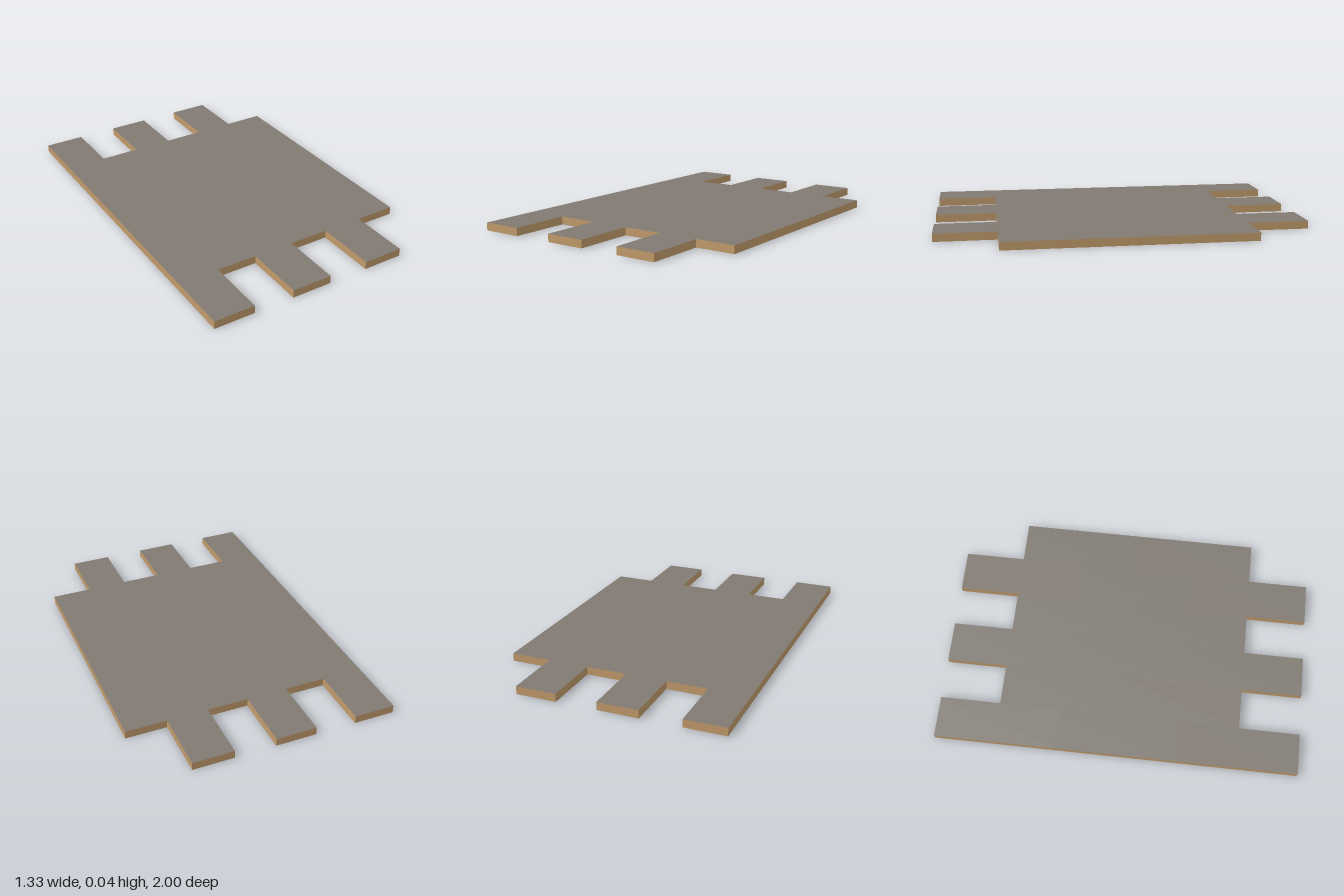
import * as THREE from 'three';

const WIDTH = 2 / 9, LENGTH = 2 / 3, THICK = 0.043;

export function createModel() {
  const model = new THREE.Group();
  model.name = 'plankFloor';

  const face = new THREE.MeshStandardMaterial({ color: 0x807a72 });
  face.name = 'weathered grey face';
  const edge = new THREE.MeshStandardMaterial({ color: 0xc19a6b });
  edge.name = 'raw wood edge';

  // Grey on the broad faces, raw wood on the four cut edges
  const materials = [edge, edge, face, face, edge, edge];
  const geometry = new THREE.BoxGeometry(WIDTH, THICK, LENGTH);

  // Six columns in running bond: three planks, then two, alternating
  for (let col = 0; col < 6; col++) {
    const column = new THREE.Group();
    column.name = `plankColumn${col + 1}`;
    column.position.x = (col - 2.5) * WIDTH;
    const count = col % 2 === 0 ? 3 : 2;
    for (let i = 0; i < count; i++) {
      const plank = new THREE.Mesh(geometry, materials);
      plank.name = `plank${i + 1}`;
      plank.position.set(0, THICK / 2, (i - (count - 1) / 2) * LENGTH);
      column.add(plank);
    }
    model.add(column);
  }
  return model;
}
